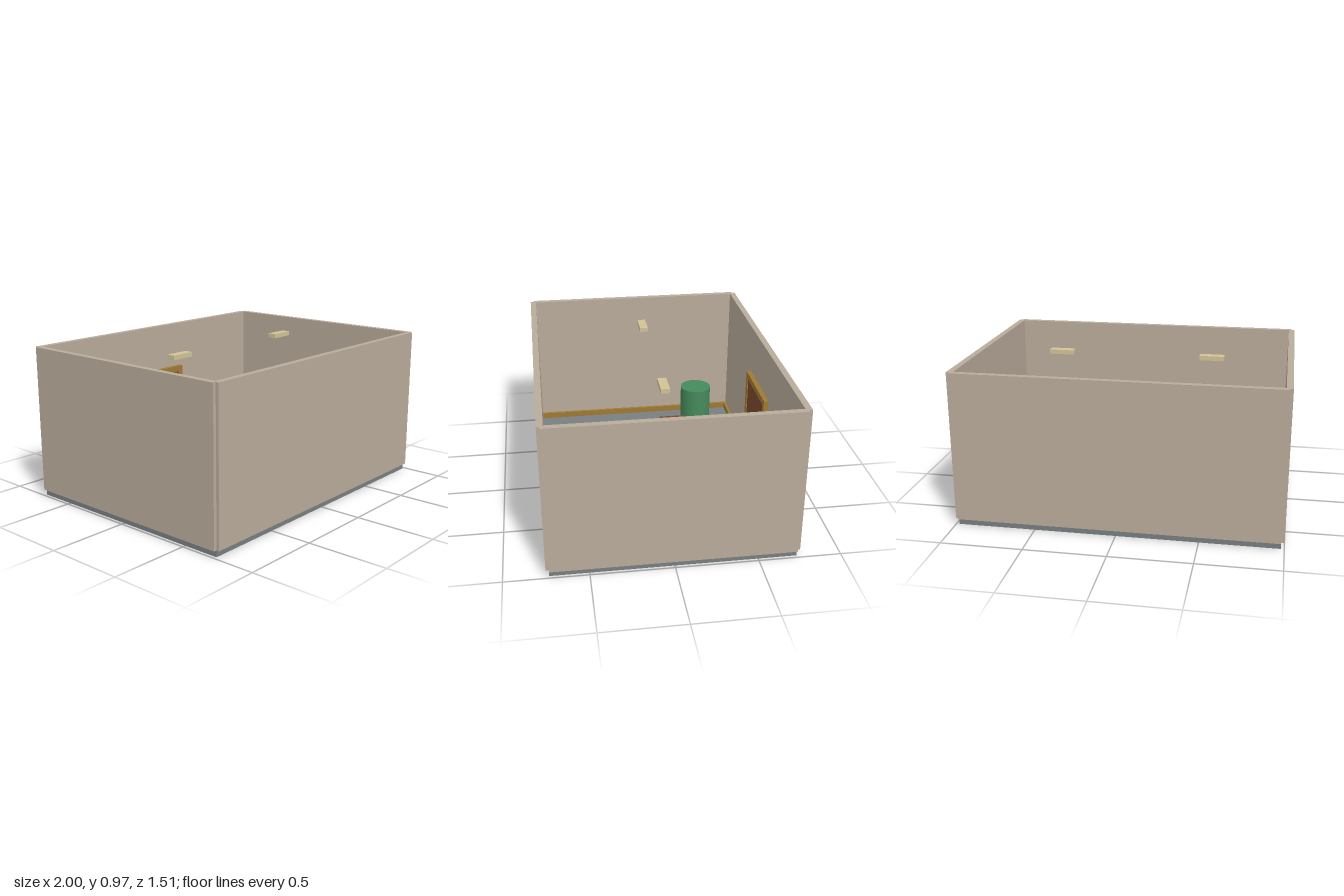
import * as THREE from 'three';

const paint = (color) => new THREE.MeshStandardMaterial({ color });

export function createModel() {
  const room = new THREE.Group();
  room.name = 'room';

  const wallPaint = paint(0xb8ab9a);
  const floorPaint = paint(0x787e80);
  const trimPaint = paint(0xa07a34);
  const woodPaint = paint(0x7c482f);
  const lampPaint = paint(0xd2c297);
  const greenPaint = paint(0x458a5c);
  const floorTop = 0.04;

  // Box given by its lower and upper limits along each axis
  const addBox = (name, material, [x0, x1], [y0, y1], [z0, z1], parent = room) => {
    const mesh = new THREE.Mesh(new THREE.BoxGeometry(x1 - x0, y1 - y0, z1 - z0), material);
    mesh.position.set((x0 + x1) / 2, (y0 + y1) / 2, (z0 + z1) / 2);
    mesh.name = name;
    parent.add(mesh);
    return mesh;
  };

  // Floor slab
  addBox('floor', floorPaint, [-0.98, 0.98], [0, floorTop], [-0.734, 0.734]);

  // Walls, centred on the floor edges so that the corners are notched
  const wallY = [floorTop, 0.97];
  addBox('frontWall', wallPaint, [-0.98, 0.98], wallY, [0.715, 0.753]);
  addBox('backWall', wallPaint, [-0.98, 0.98], wallY, [-0.753, -0.715]);
  addBox('rightWall', wallPaint, [-1, -0.961], wallY, [-0.734, 0.734]);
  addBox('leftWall', wallPaint, [0.961, 1], wallY, [-0.734, 0.734]);

  // Baseboards along the back and both sides
  const boardY = [floorTop, 0.08];
  addBox('backBaseboard', trimPaint, [-0.961, 0.961], boardY, [-0.715, -0.696]);
  addBox('rightBaseboard', trimPaint, [-0.961, -0.942], boardY, [-0.715, 0.715]);
  addBox('leftBaseboard', trimPaint, [0.942, 0.961], boardY, [-0.715, 0.715]);

  // Door: frame around three sides, panel and knob
  const door = new THREE.Group();
  door.name = 'door';
  room.add(door);
  const outline = [[-0.238, 0], [-0.238, 0.625], [0.238, 0.625], [0.238, 0],
    [0.2, 0], [0.2, 0.585], [-0.2, 0.585], [-0.2, 0]];
  const frameShape = new THREE.Shape(outline.map(([x, y]) => new THREE.Vector2(x, y)));
  const frame = new THREE.Mesh(
    new THREE.ExtrudeGeometry(frameShape, { depth: 0.03, bevelEnabled: false }), trimPaint);
  frame.position.set(0, floorTop, -0.715);
  frame.name = 'doorFrame';
  door.add(frame);
  addBox('doorPanel', woodPaint, [-0.2, 0.2], [floorTop, 0.625], [-0.715, -0.69], door);
  const knob = new THREE.Mesh(new THREE.SphereGeometry(0.012, 16, 12), trimPaint);
  knob.position.set(0.125, 0.29, -0.68);
  knob.name = 'doorKnob';
  door.add(knob);

  // Counter: body under a slightly wider top
  const counter = new THREE.Group();
  counter.name = 'counter';
  room.add(counter);
  addBox('counterBody', woodPaint, [-0.415, 0.415], [floorTop, 0.24], [-0.28, -0.12], counter);
  addBox('counterTop', woodPaint, [-0.424, 0.424], [0.24, 0.26], [-0.29, -0.11], counter);

  // Round green planter
  const planter = new THREE.Mesh(new THREE.CylinderGeometry(0.108, 0.108, 0.32, 32), greenPaint);
  planter.position.set(-0.688, floorTop + 0.16, -0.418);
  planter.name = 'planter';
  room.add(planter);

  // Pair of hanging lamps
  for (const [name, side] of [['rightLamp', -1], ['leftLamp', 1]]) {
    const x = side * 0.488;
    addBox(name, lampPaint, [x - 0.078, x + 0.078], [0.922, 0.95], [-0.027, 0.027]);
  }

  return room;
}
